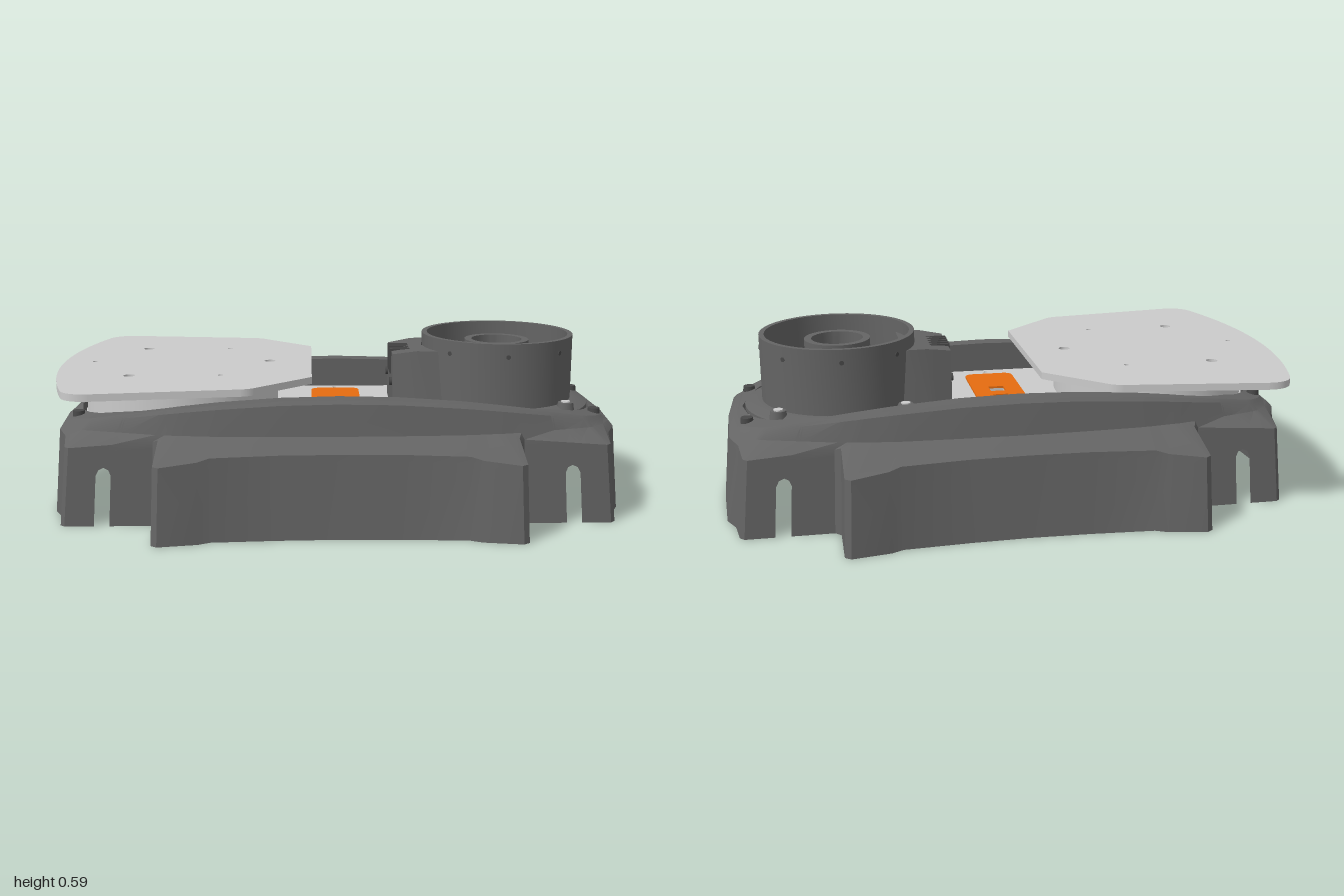
import * as THREE from 'three';
import { toCreasedNormals } from 'three/addons/utils/BufferGeometryUtils.js';

const mat = (color) => new THREE.MeshStandardMaterial({ color, side: THREE.DoubleSide });
const dark = mat(0x646464), darker = mat(0x484848), light = mat(0xcccccc), orange = mat(0xe66c10);
const DRUM_X = 0.58;

function add(parent, name, geometry, material, x = 0, y = 0, z = 0) {
  const mesh = new THREE.Mesh(geometry, material);
  mesh.name = name;
  mesh.position.set(x, y, z);
  parent.add(mesh);
  return mesh;
}

// Flat plate lying in x/z, top face at y
function slab(shape, top, depth) {
  const g = new THREE.ExtrudeGeometry(shape, { depth, bevelEnabled: false, curveSegments: 24 });
  return g.rotateX(Math.PI / 2).translate(0, top, 0);
}

function hole(shape, x, z, r) {
  shape.holes.push(new THREE.Path().absarc(x, z, r, 0, Math.PI * 2, true));
}

function squareHole(shape, x, z, s) {
  shape.holes.push(new THREE.Path([[-s, -s], [-s, s], [s, s], [s, -s], [-s, -s]].map(([a, b]) => new THREE.Vector2(x + a, z + b))));
}

function roundedRect(w, d, r) {
  const s = new THREE.Shape();
  s.absarc(w - r, d - r, r, 0, Math.PI / 2);
  s.absarc(-w + r, d - r, r, Math.PI / 2, Math.PI);
  s.absarc(-w + r, -d + r, r, Math.PI, Math.PI * 1.5);
  s.absarc(w - r, -d + r, r, Math.PI * 1.5, Math.PI * 2);
  return s;
}

// Open-bottomed shell: one quarter of each outline, from the end centre to the side centre
function shellGeometry() {
  const base = [[1, 0], [0.985, 0.24], [0.955, 0.3], [0.94, 0.395], [0.925, 0.41], [0.63, 0.41], [0.61, 0.43],
    [0.61, 0.61], [0.59, 0.625], [0.46, 0.603], [0.42, 0.583], [0.2, 0.57], [0, 0.565]];
  const shoulder = [[0.97, 0.3, 0], [0.96, 0.295, 0.23], [0.93, 0.285, 0.29], [0.915, 0.27, 0.385], [0.9, 0.27, 0.4],
    [0.62, 0.29, 0.4], [0.6, 0.3, 0.42], [0.6, 0.255, 0.585], [0.58, 0.255, 0.6], [0.46, 0.265, 0.572],
    [0.42, 0.275, 0.558], [0.2, 0.28, 0.548], [0, 0.28, 0.543]];
  const foot = [[0.955, 0], [0.945, 0.22], [0.915, 0.27], [0.87, 0.315], [0.85, 0.325], [0.61, 0.395], [0.58, 0.4],
    [0.55, 0.407], [0.52, 0.41], [0.45, 0.42], [0.4, 0.425], [0.2, 0.432], [0, 0.435]];
  const inner = [[0.92, 0], [0.897, 0.12], [0.865, 0.185], [0.83, 0.23], [0.81, 0.25], [0.66, 0.33], [0.62, 0.337],
    [0.58, 0.34], [0.54, 0.342], [0.45, 0.345], [0.4, 0.345], [0.2, 0.345], [0, 0.345]];
  const arch = (x) => 0.43 - 0.115 * x * x;
  const mix = (a, b, t) => a.map((v, i) => v + (b[i] - v) * t);

  const column = (b, s, f, n, lift = 0) => {
    const bottom = [b[0], 0, b[1]];
    const fx = f[0] * 0.985, fz = f[1] * 0.965;
    return [
      mix(bottom, s, lift / s[1]), mix(bottom, s, 0.92), s, [f[0], 0.312, f[1]],
      [fx, arch(fx) - 0.012, fz], [fx * 0.99, arch(fx), fz * 0.97],
      [n[0], arch(n[0]), n[1]], [n[0], 0.305, n[1]],
    ];
  };
  const quarter = [];
  base.forEach((b, i) => {
    quarter.push(column(b, shoulder[i], foot[i], inner[i]));
    if (i === 4) { // cable slot in the end block
      for (const [x, y] of [[0.826, 0], [0.826, 0.175], [0.817, 0.194], [0.8, 0.202], [0.783, 0.194], [0.774, 0.175], [0.774, 0]]) {
        const t = (b[0] - x) / (b[0] - base[5][0]);
        quarter.push(column(...[base, shoulder, foot, inner].map((r) => mix(r[4], r[5], t)), y));
      }
    }
  });
  const flip = (cols, sx, sz) => cols.map((c) => c.map(([x, y, z]) => [x * sx, y, z * sz]));
  const half = [...quarter, ...flip(quarter, -1, 1).reverse().slice(1)];
  const loop = [...half, ...flip(half, 1, -1).reverse().slice(1, -1)];

  const rows = loop[0].length, index = [];
  for (let i = 0; i < loop.length; i++) {
    for (let j = 0; j < rows - 1; j++) {
      const a = i * rows + j, b = ((i + 1) % loop.length) * rows + j;
      index.push(a, a + 1, b, b, a + 1, b + 1);
    }
  }
  const g = new THREE.BufferGeometry();
  g.setAttribute('position', new THREE.Float32BufferAttribute(loop.flat(2), 3));
  g.setIndex(index);
  return toCreasedNormals(g, 0.5);
}

function lathe(points) {
  const g = new THREE.LatheGeometry(points.map(([r, y]) => new THREE.Vector2(r, y)), 64);
  return toCreasedNormals(g, 0.5);
}

export function createModel() {
  const model = new THREE.Group();
  add(model, 'bodyShell', shellGeometry(), dark);

  // Floor plate and the coloured insert, with two square openings through both
  const floor = roundedRect(0.9, 0.328, 0.31), insert = roundedRect(0.09, 0.255, 0.03);
  for (const s of [-1, 1]) {
    squareHole(floor, 0, s * 0.05, 0.028);
    squareHole(insert, 0, s * 0.05, 0.028);
    hole(floor, 0, s * 0.3, 0.008);
  }
  add(model, 'floorPlate', slab(floor, 0.325, 0.02), light);
  add(model, 'insertPlate', slab(insert, 0.332, 0.034), orange);

  // Raised platform on its round pedestal
  add(model, 'platformPedestal', new THREE.CylinderGeometry(0.343, 0.343, 0.15, 64), light, -0.555, 0.39, 0);
  const top = new THREE.Shape();
  top.moveTo(-0.09, -0.3);
  top.lineTo(-0.09, 0.3);
  top.lineTo(-0.27, 0.47);
  top.quadraticCurveTo(-0.29, 0.492, -0.32, 0.497);
  top.lineTo(-0.8, 0.56);
  top.quadraticCurveTo(-0.88, 0.565, -0.9, 0.49);
  top.quadraticCurveTo(-1.055, 0, -0.9, -0.49);
  top.quadraticCurveTo(-0.88, -0.565, -0.8, -0.56);
  top.lineTo(-0.32, -0.497);
  top.quadraticCurveTo(-0.29, -0.492, -0.27, -0.47);
  const bolts = [[-0.71, 0.26], [-0.71, -0.26], [-0.24, 0]];
  for (const [x, z] of bolts) hole(top, x, z, 0.02);
  for (const [x, z] of [[-0.4, 0.26], [-0.4, -0.26], [-0.87, 0]]) hole(top, x, z, 0.009);
  add(model, 'platformPlate', slab(top, 0.487, 0.024), light);
  for (const [x, z] of bolts) add(model, 'platformBolt', new THREE.CylinderGeometry(0.011, 0.011, 0.014, 16), darker, x, 0.472, z);

  // Drum: flange, thin wall, sunken floor and hollow hub
  const drum = new THREE.Group();
  drum.name = 'drum';
  drum.position.x = DRUM_X;
  model.add(drum);
  add(drum, 'drumHousing', lathe([[0, 0.33], [0.33, 0.33], [0.33, 0.345], [0.29, 0.36], [0.27, 0.362], [0.27, 0.59],
    [0.252, 0.59], [0.252, 0.46], [0.235, 0.445], [0.115, 0.445], [0.115, 0.565], [0.09, 0.565], [0.09, 0.47],
    [0.06, 0.47], [0.055, 0.48], [0, 0.48]]), dark);
  add(drum, 'spindle', new THREE.CylinderGeometry(0.015, 0.015, 0.03, 20), darker, 0, 0.485, 0);
  add(drum, 'floorSpoke', new THREE.BoxGeometry(0.13, 0.015, 0.035), darker, -0.18, 0.45, 0);
  const pad = add(drum, 'floorPad', new THREE.BoxGeometry(0.13, 0.02, 0.06), darker, -0.04, 0.453, 0.16);
  pad.rotation.y = -0.45;
  for (let i = 0; i < 8; i++) {
    const a = i * Math.PI / 4, r = 0.27;
    const pin = add(drum, 'wallPin', new THREE.CylinderGeometry(0.008, 0.008, 0.004, 12), darker, Math.cos(a) * r, 0.545, Math.sin(a) * r);
    pin.rotation.set(0, -a, Math.PI / 2);
  }
  for (const sx of [-1, 1]) for (const sz of [-1, 1]) {
    add(drum, 'flangeLug', new THREE.CylinderGeometry(0.026, 0.032, 0.035, 20), dark, sx * 0.215, 0.358, sz * 0.212);
    add(drum, 'flangeScrew', new THREE.CylinderGeometry(0.016, 0.016, 0.01, 16), light, sx * 0.215, 0.375, sz * 0.212);
  }

  // Screws on both end decks
  for (const x of [-0.9, 0.9]) for (const z of [-0.19, 0.19]) {
    add(model, 'deckScrew', new THREE.CylinderGeometry(0.02, 0.022, 0.02, 20), darker, x, 0.341, z);
  }

  // Connector housing on the drum's inner side, with cooling fins
  const block = new THREE.Shape([[0.4, -0.17], [0.4, 0.17], [0.28, 0.165], [0.24, 0.155], [0.195, 0.145], [0.195, -0.145],
    [0.24, -0.155], [0.28, -0.165]].map(([x, z]) => new THREE.Vector2(x, z)));
  const blockGeo = slab(block, 0.545, 0.21);
  const p = blockGeo.attributes.position;
  for (let i = 0; i < p.count; i++) {
    if (p.getY(i) > 0.5) { // sloping top, narrower than the base
      p.setY(i, 0.545 - Math.max(0, 0.28 - p.getX(i)) * 0.16);
      p.setZ(i, p.getZ(i) * 0.86);
    }
  }
  // keep the housing outside the drum wall
  for (let i = 0; i < p.count; i++) {
    const z = p.getZ(i), limit = DRUM_X - Math.sqrt(0.262 ** 2 - z * z);
    if (p.getX(i) > 0.35) p.setX(i, limit);
  }
  blockGeo.computeVertexNormals();
  // two halves side by side leave the drum's curved wall clear
  add(model, 'connectorHousing', toCreasedNormals(blockGeo, 0.4), dark).scale.x = 1;
  for (let i = -2; i <= 2; i++) {
    add(model, 'coolingFin', new THREE.BoxGeometry(0.07, 0.09, 0.012), darker, 0.225, 0.495, i * 0.028);
  }
  for (const z of [-0.1, 0.1]) {
    const cap = add(model, 'housingScrew', new THREE.CylinderGeometry(0.014, 0.014, 0.012, 16), darker, 0.192, 0.43, z);
    cap.rotation.z = Math.PI / 2;
  }
  return model;
}
